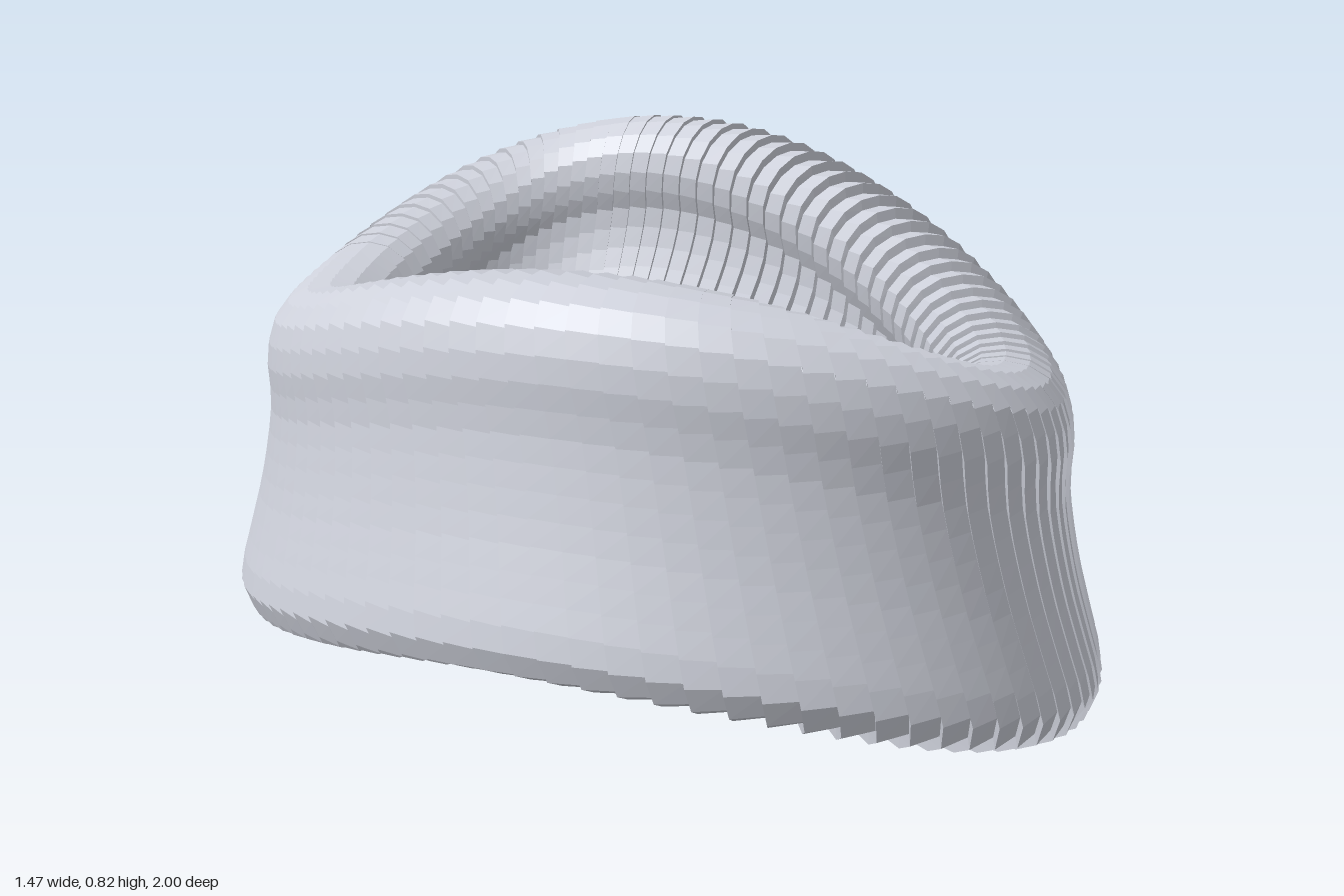
import * as THREE from 'three';

// Closed band section: sideways offset from the centre line, height above the lower edge
const PROFILE = [
  [0, 0.60], [0.06, 0.585], [0.10, 0.54], [0.115, 0.47], [0.112, 0.39],
  [0.134, 0.25], [0.165, 0.13], [0.181, 0.06], [0.165, 0.02], [0.12, 0.003], [0.03, 0.015],
  [-0.08, 0.035], [-0.16, 0.06], [-0.19, 0.095], [-0.165, 0.16], [-0.12, 0.25],
  [-0.085, 0.35], [-0.08, 0.42], [-0.1, 0.47], [-0.102, 0.53], [-0.06, 0.585],
];
const SLATS = 92;      // slats around the band
const STEP = 0.003;    // half the height of each slat's raised edge
const SHEAR = 0.16;    // how far the foot of a slat trails its top, in radians
const RX = 0.55, RZ = 0.817;
const HEIGHT = 0.6;

// Saddle-shaped lift of the band around the oval
const lift = (t) => 0.114 - 0.035 * Math.cos(2 * t) - 0.104 * Math.sin(2 * t);

function createSection() {
  const curve = new THREE.CatmullRomCurve3(
    PROFILE.map(([o, y]) => new THREE.Vector3(o, y, 0)), true, 'centripetal');
  const count = 40;
  return Array.from({ length: count }, (_, i) => {
    const p = curve.getPointAt(i / count);
    const d = curve.getTangentAt(i / count);
    return { o: p.x, y: p.y, no: -d.y, ny: d.x };
  });
}

function createBandGeometry() {
  const section = createSection();
  const n = section.length;
  const positions = [];
  const indices = [];

  // One slanted cross-section, pushed out along its own normal;
  // its lift is taken at the middle of the slat, so the slat lies level
  const addRing = (angle, middle, push) => {
    for (const s of section) {
      const slant = SHEAR * (1 - s.y / HEIGHT);
      const t = angle - slant;
      const c = Math.cos(t), k = Math.sin(t);
      const normal = new THREE.Vector2(c / RX, k / RZ).normalize();
      const o = s.o + s.no * push;
      const y = lift(middle - slant) + s.y + s.ny * push;
      positions.push(RX * c + normal.x * o, y, RZ * k + normal.y * o);
    }
  };

  // Neighbouring slats meet in a small stair step
  const pitch = (Math.PI * 2) / SLATS;
  for (let i = 0; i < SLATS; i++) {
    const middle = (i + 0.5) * pitch;
    addRing(i * pitch, middle, -STEP);
    addRing((i + 1) * pitch, middle, STEP);
  }
  const rings = SLATS * 2;
  for (let r = 0; r < rings; r++) {
    const next = (r + 1) % rings;
    for (let j = 0; j < n; j++) {
      const k = (j + 1) % n;
      const a = r * n + j, b = next * n + j, c = next * n + k, d = r * n + k;
      indices.push(a, b, c, a, c, d);
    }
  }
  const geometry = new THREE.BufferGeometry();
  geometry.setAttribute('position', new THREE.Float32BufferAttribute(positions, 3));
  geometry.setIndex(indices);
  geometry.computeVertexNormals();
  return geometry;
}

export function createModel() {
  const group = new THREE.Group();
  group.name = 'slattedRing';
  const material = new THREE.MeshStandardMaterial({
    color: 0xcdd0da, flatShading: true, side: THREE.DoubleSide,
  });
  material.name = 'paleGrey';
  const band = new THREE.Mesh(createBandGeometry(), material);
  band.name = 'wavyBand';
  group.add(band);
  return group;
}
